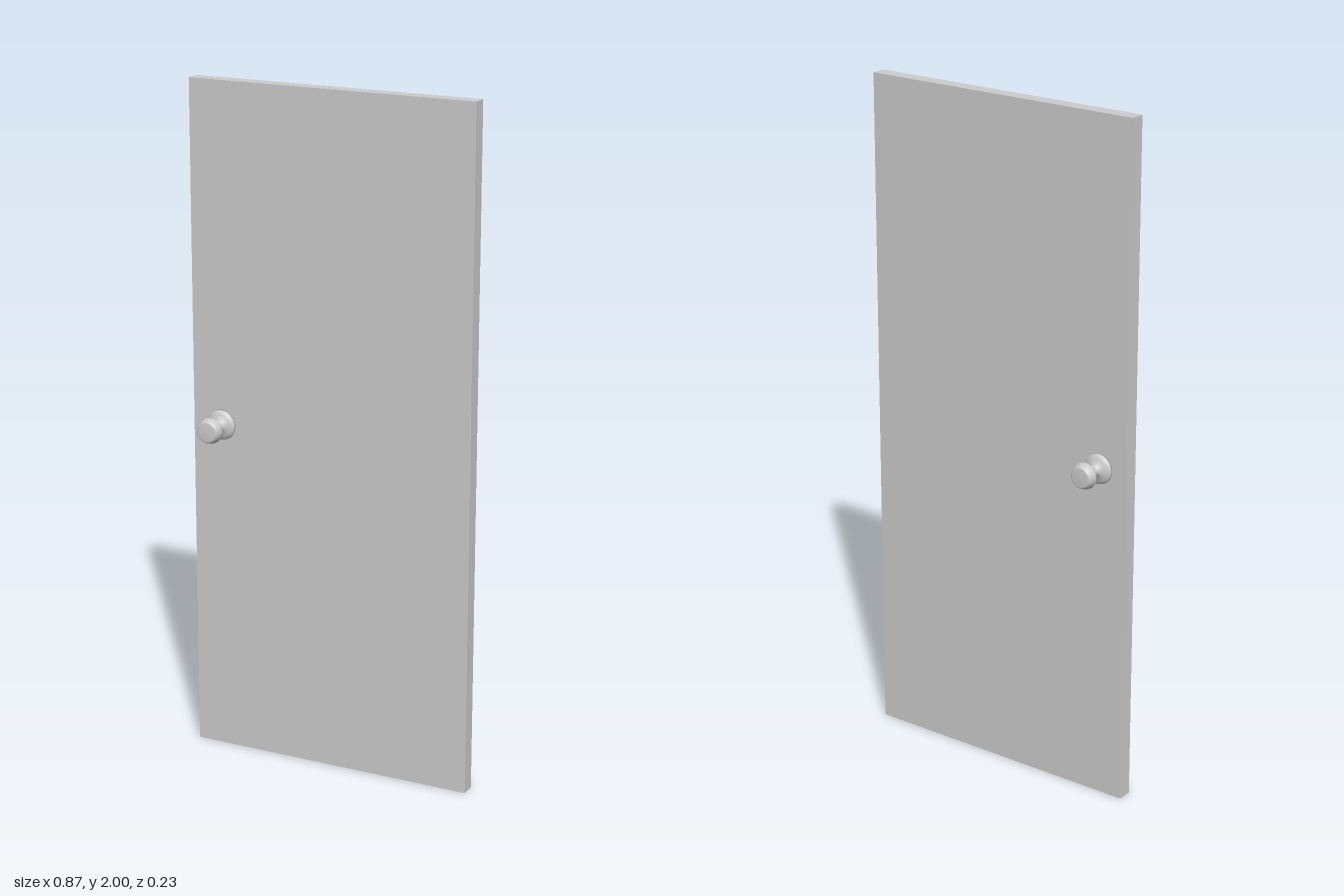
import * as THREE from 'three';

const grey = new THREE.MeshStandardMaterial({ color: 0xcccccc });

// Half profile of one handle: radius, distance from the middle of the door
const profile = [
  [0, 0.023], [0.045, 0.023], [0.044, 0.027], [0.041, 0.032], [0.033, 0.036],
  [0.022, 0.04], [0.017, 0.046], [0.015, 0.053], [0.015, 0.074], [0.018, 0.079],
  [0.028, 0.081], [0.036, 0.084], [0.038, 0.088], [0.037, 0.096], [0.034, 0.105],
  [0.031, 0.111], [0.027, 0.1135], [0, 0.114],
].map(([r, d]) => new THREE.Vector2(r, d));

export function createModel() {
  const door = new THREE.Group();
  door.name = 'door';

  // Plain door leaf
  const panel = new THREE.Mesh(new THREE.BoxGeometry(0.874, 2, 0.044), grey);
  panel.name = 'panel';
  panel.position.y = 1;
  door.add(panel);

  // Turned knob with its rose, one on each side
  const knobGeometry = new THREE.LatheGeometry(profile, 32);
  for (const side of [1, -1]) {
    const knob = new THREE.Mesh(knobGeometry, grey);
    knob.name = side > 0 ? 'frontKnob' : 'backKnob';
    knob.position.set(-0.346, 1, 0);
    knob.rotation.x = side * Math.PI / 2;
    door.add(knob);
  }
  return door;
}
